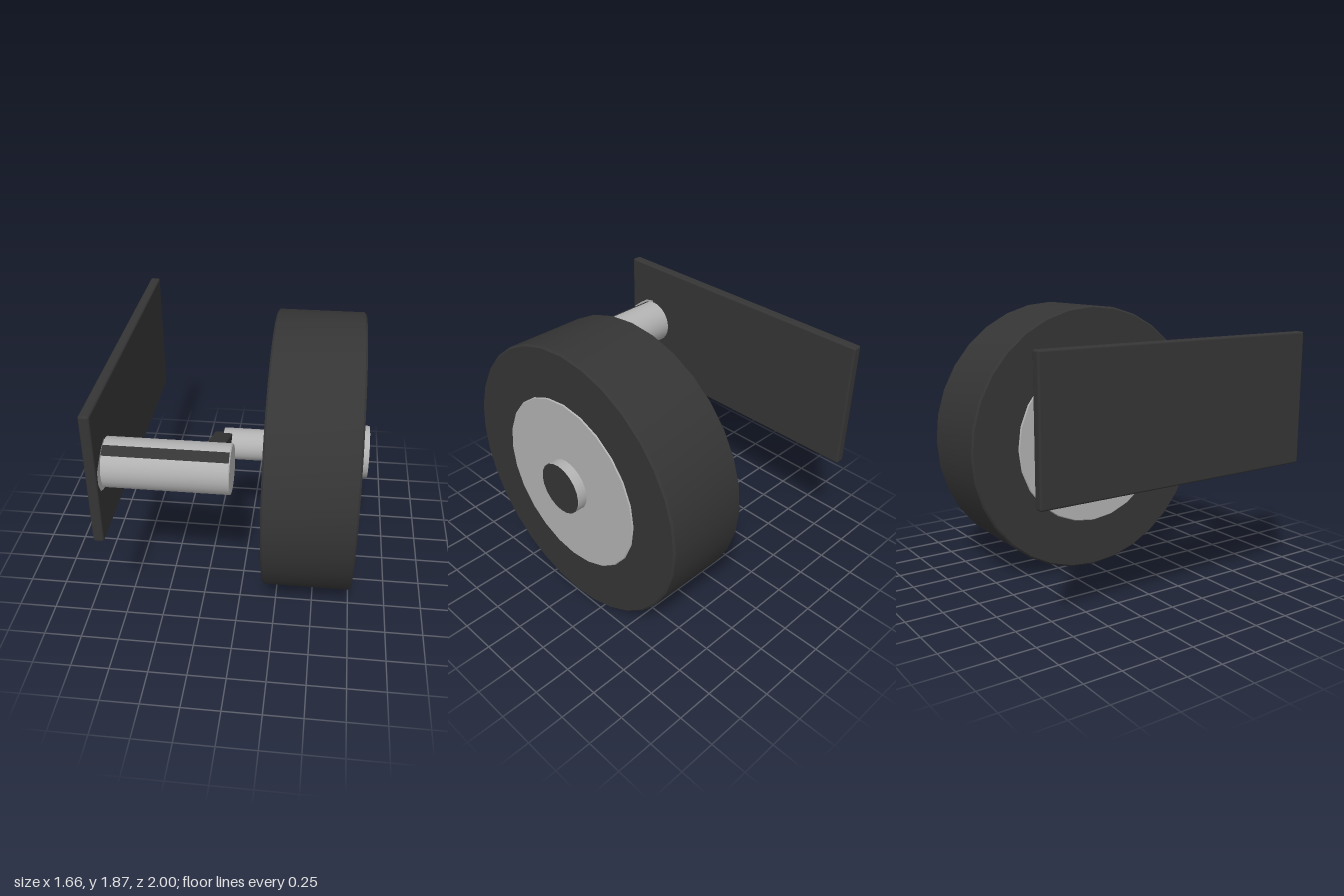
import * as THREE from 'three';
import { toCreasedNormals } from 'three/addons/utils/BufferGeometryUtils.js';
import { RoundedBoxGeometry } from 'three/addons/geometries/RoundedBoxGeometry.js';

const rad = THREE.MathUtils.degToRad;

export function createModel() {
  const model = new THREE.Group();
  model.name = 'wheelAssembly';

  const dark = new THREE.MeshStandardMaterial({ color: 0x353535 });
  dark.name = 'dark rubber';
  const light = new THREE.MeshStandardMaterial({ color: 0xb2b2b2 });
  light.name = 'bare metal';

  const add = (name, geometry, material, x = 0, y = 0, z = 0) => {
    const mesh = new THREE.Mesh(geometry, material);
    mesh.name = name;
    mesh.position.set(x, y, z);
    model.add(mesh);
    return mesh;
  };

  // Bevelled disc lying along x from x0 to x1
  const disc = (name, x0, x1, r, bevel, sides, material, y, z) => {
    const h = (x1 - x0) / 2;
    const profile = [
      [0, -h], [r - bevel, -h], [r, -h + bevel],
      [r, h - bevel], [r - bevel, h], [0, h],
    ].map(([a, b]) => new THREE.Vector2(a, b));
    const geometry = toCreasedNormals(new THREE.LatheGeometry(profile, sides), 0.6);
    geometry.rotateZ(-Math.PI / 2);
    return add(name, geometry, material, (x0 + x1) / 2, y, z);
  };

  // Painted stripe wrapped on a rod along x; angles in degrees
  const stripe = (name, x0, x1, r, from, to, y, z) => {
    const geometry = new THREE.CylinderGeometry(
      r + 0.002, r + 0.002, x1 - x0, 4, 1, true, rad(from), rad(to - from));
    geometry.rotateZ(-Math.PI / 2);
    return add(name, geometry, dark, (x0 + x1) / 2, y, z);
  };

  // Wheel
  const axleY = 0.935;
  disc('tyre', 0.172, 0.75, 0.935, 0.012, 32, dark, axleY, 0);
  disc('hubDisc', 0.162, 0.758, 0.595, 0.006, 24, light, axleY, 0);

  // Hub cap with a dark end face
  disc('hubCap', 0.7, 0.825, 0.177, 0.001, 20, light, axleY, 0);
  const capFace = new THREE.CircleGeometry(0.176, 20);
  capFace.rotateY(Math.PI / 2);
  add('hubCapFace', capFace, dark, 0.827, axleY, 0);

  // Axle stub behind the wheel
  disc('axle', -0.16, 0.2, 0.108, 0.002, 20, light, axleY + 0.003, 0);
  stripe('axleStripe', -0.158, 0.165, 0.108, 170, 197, axleY + 0.003, 0);

  // Swing arm rising from the axle to the pivot tube
  const start = new THREE.Vector2(0.01, 0.944);
  const end = new THREE.Vector2(0.74, 1.255);
  const arm = add('swingArm',
    new RoundedBoxGeometry(0.125, 0.16, start.distanceTo(end), 2, 0.01), dark,
    -0.1625, (start.y + end.y) / 2, (start.x + end.x) / 2);
  arm.rotation.x = -Math.atan2(end.y - start.y, end.x - start.x);

  // Pivot tube with its stripe
  disc('pivotTube', -0.78, -0.008, 0.154, 0.006, 24, light, 1.27, 0.775);
  stripe('pivotStripe', -0.764, -0.014, 0.154, -73, -47, 1.27, 0.775);

  // Mounting plate
  add('mountingPlate', new RoundedBoxGeometry(0.066, 0.885, 2, 2, 0.014), dark,
    -0.798, 1.2725, 0);

  // Bare metal patch around the foot of the tube, drawn as (-z, y)
  const patch = new THREE.Shape([
    [-0.78, 1.44], [-0.85, 1.425], [-0.91, 1.385], [-0.98, 1.33],
    [-0.985, 1.25], [-0.95, 1.18], [-0.9, 1.155], [-0.78, 1.13],
  ].map(([a, b]) => new THREE.Vector2(a, b)));
  const patchGeometry = new THREE.ShapeGeometry(patch);
  patchGeometry.rotateY(Math.PI / 2);
  const patchMesh = add('platePatch', patchGeometry, light, -0.762, 0, 0);
  patchMesh.updateMatrix();

  return model;
}
